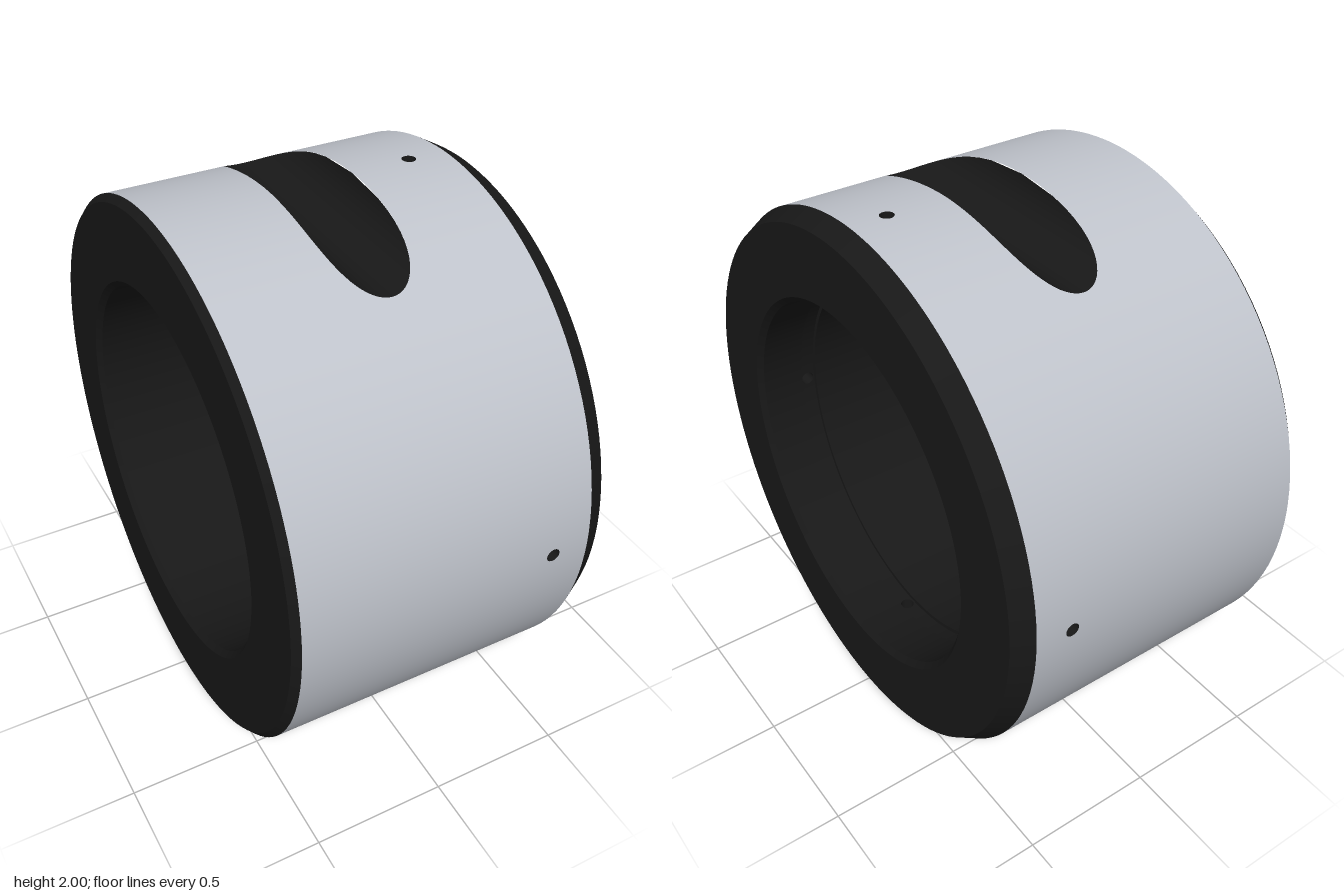
import * as THREE from 'three';

const { sin, cos, acos, abs, max, sqrt, PI } = Math;
const SLOT = 0.152;     // slot radius
const HOLE = 0.025;     // oil hole radius
const HOLE_X = 0.375;   // position of the oil holes along the axis
const HALF = 0.045;     // half angle of the patch round each oil hole
const BORE = 0.68, GROOVE = 0.695, GROOVE_HALF = 0.03;
const RING = 24;

const steel = new THREE.MeshStandardMaterial({ color: 0xc0c4cc });
const black = new THREE.MeshStandardMaterial({ color: 0x181818 });

// Angles round the axis, refined at the slots and oil holes
function makeColumns() {
  const set = new Set();
  const add = t => set.add(+((t + 4 * PI) % (2 * PI)).toFixed(6));
  for (let i = 0; i < 120; i++) add((i / 120) * 2 * PI);
  for (let q = 0; q < 4; q++)
    for (let k = -3; k <= 3; k++) add(q * PI / 2 + HALF * Math.tan(k * PI / 12));
  for (const base of [0, PI])
    for (let i = 0; i <= 16; i++) {
      const t = acos(1 - SLOT * cos(i / 16 * PI / 2));
      add(base + t);
      add(base - t);
    }
  return [...set].sort((a, b) => a - b).concat(2 * PI);
}
const columns = makeColumns();

// Grid surface: f(i, j) gives [position, normal]
function grid(name, material, nu, nv, f, skip = () => false) {
  const pos = [], nor = [], idx = [];
  for (let i = 0; i <= nu; i++)
    for (let j = 0; j <= nv; j++) {
      const [p, n] = f(i, j);
      pos.push(...p);
      nor.push(...n);
    }
  for (let i = 0; i < nu; i++)
    for (let j = 0; j < nv; j++) {
      if (skip(j)) continue;
      const a = i * (nv + 1) + j, b = a + nv + 1;
      idx.push(a, a + 1, b, b, a + 1, b + 1);
    }
  const g = new THREE.BufferGeometry();
  g.setAttribute('position', new THREE.Float32BufferAttribute(pos, 3));
  g.setAttribute('normal', new THREE.Float32BufferAttribute(nor, 3));
  g.setIndex(idx);
  const mesh = new THREE.Mesh(g, material);
  mesh.name = name;
  return mesh;
}

const polar = (x, r, t) => [x, r * cos(t), r * sin(t)];

// Half width of the slot opening at an angle
const slotWidth = t => sqrt(max(0, SLOT ** 2 - (1 - abs(cos(t))) ** 2));

const atHole = j => {
  const t = (columns[j] + columns[j + 1]) / 2 / (PI / 2);
  return abs(t - Math.round(t)) * PI / 2 < HALF;
};

// Band of revolution between two profile points; x may depend on the angle
function band(name, material, [x0, r0], [x1, r1], pierced = false) {
  const at = (x, t) => (typeof x === 'function' ? x(t) : x);
  const dx = at(x1, PI / 2) - at(x0, PI / 2), dr = r1 - r0, len = Math.hypot(dx, dr);
  return grid(name, material, 1, columns.length - 1, (i, j) => {
    const t = columns[j];
    return [polar(at(i ? x1 : x0, t), i ? r1 : r0, t), polar(-dr / len, dx / len, t)];
  }, pierced ? atHole : undefined);
}

// Square patch with a round opening, laid on a cylinder
function holePatch(name, material, r, halfX, t0, side) {
  return grid(name, material, 1, RING, (i, j) => {
    const a = -side * j / RING * 2 * PI, c = cos(a), s = sin(a), m = max(abs(c), abs(s));
    const x = HOLE_X + (i ? c * HOLE : c / m * halfX);
    const t = t0 + (i ? s * HOLE / r : s / m * HALF);
    return [polar(x, r, t), polar(0, side, t)];
  });
}

function holeWall(t0) {
  return grid('oilHoleWall', black, 1, RING, (i, j) => {
    const a = -j / RING * 2 * PI, r = i ? GROOVE : 1;
    const t = t0 + sin(a) * HOLE / r;
    return [polar(HOLE_X + cos(a) * HOLE, r, t), [-cos(a), sin(a) * sin(t0), -sin(a) * cos(t0)]];
  });
}

// Half round trough running along z across the rim
function slotFloor() {
  return grid('slotFloor', black, 32, 12, (i, j) => {
    const phi = (i / 32 - 0.5) * PI, y = 1 - SLOT * cos(phi);
    const z = sqrt(max(0, 1 - y * y)) * (j / 6 - 1);
    return [[SLOT * sin(phi), y, z], [-sin(phi), cos(phi), 0]];
  });
}

export function createModel() {
  const model = new THREE.Group();
  model.name = 'slottedCollar';
  const end = 0.587, g0 = HOLE_X - GROOVE_HALF, g1 = HOLE_X + GROOVE_HALF;
  const p0 = HOLE_X - HALF, p1 = HOLE_X + HALF;

  // Bright outer wall, split by the slots and the row of oil holes
  model.add(
    band('outerWallRight', steel, [-0.562, 1], [t => -slotWidth(t), 1]),
    band('outerWallMiddle', steel, [slotWidth, 1], [p0, 1]),
    band('outerWallHoleRow', steel, [p0, 1], [p1, 1], true),
    band('outerWallLeft', steel, [p1, 1], [0.515, 1]),
  );

  // Black edge chamfers, end faces and bore with its oil groove
  const lip = 0.02;
  model.add(
    band('rightEdgeChamfer', black, [-end, 0.975], [-0.562, 1]),
    band('leftEdgeChamfer', black, [0.515, 1], [end, 0.96]),
    band('leftFace', black, [end, 0.96], [end, BORE + lip]),
    band('leftBoreChamfer', black, [end, BORE + lip], [end - lip, BORE]),
    band('boreLeft', black, [end - lip, BORE], [g1, BORE]),
    band('grooveSideLeft', black, [g1, BORE], [g1, GROOVE]),
    band('grooveFloor', black, [g1, GROOVE], [g0, GROOVE], true),
    band('grooveSideRight', black, [g0, GROOVE], [g0, BORE]),
    band('boreRight', black, [g0, BORE], [lip - end, BORE]),
    band('rightBoreChamfer', black, [lip - end, BORE], [-end, BORE + lip]),
    band('rightFace', black, [-end, BORE + lip], [-end, 0.975]),
  );

  // Four radial oil holes
  for (let q = 0; q < 4; q++) {
    const t = q * PI / 2;
    model.add(
      holePatch('oilHoleRim', steel, 1, HALF, t, 1),
      holePatch('oilHoleInnerRim', black, GROOVE, GROOVE_HALF, t, -1),
      holeWall(t),
    );
  }

  // Slots at top and bottom
  const topSlot = slotFloor(), bottomSlot = slotFloor();
  bottomSlot.rotation.x = PI;
  model.add(topSlot, bottomSlot);

  model.position.y = 1;
  return model;
}
